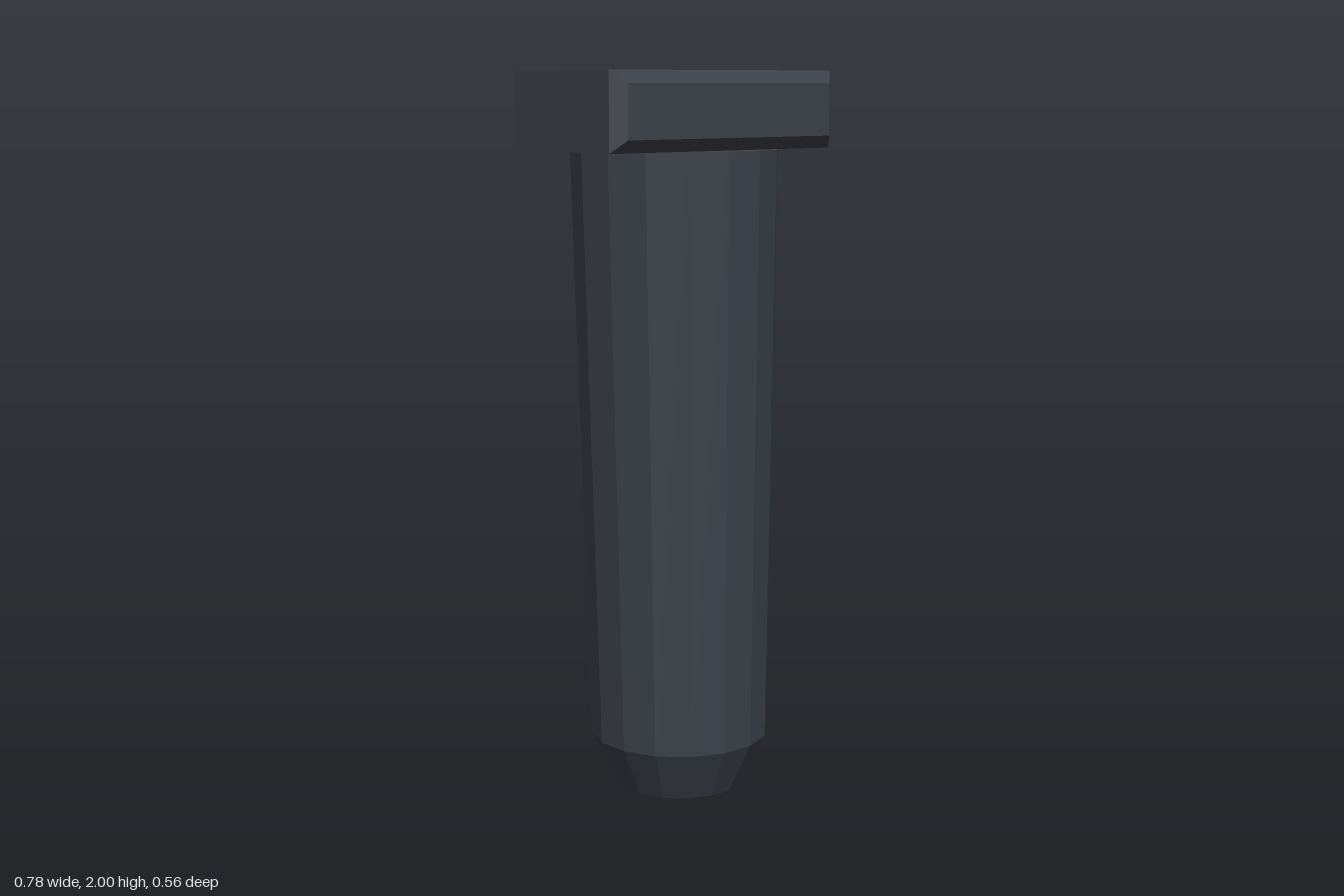
import * as THREE from 'three';

export function createModel() {
  const group = new THREE.Group();
  const steel = new THREE.MeshStandardMaterial({ color: 0x3b4049, flatShading: true });
  steel.name = 'darkSteel';

  const add = (name, geometry) => {
    const mesh = new THREE.Mesh(geometry, steel);
    mesh.name = name;
    group.add(mesh);
  };

  // 16-sided tapered section from y0 to y1, whose axis leans from x0 to x1
  const section = (r0, r1, y0, y1, x0, x1, openEnded = false) => {
    const h = y1 - y0;
    const g = new THREE.CylinderGeometry(r1, r0, h, 16, 1, openEnded, Math.PI / 16);
    g.translate(0, h / 2 + y0, 0);
    const p = g.attributes.position;
    for (let i = 0; i < p.count; i++) {
      p.setX(i, p.getX(i) + THREE.MathUtils.mapLinear(p.getY(i), y0, y1, x0, x1));
    }
    g.computeVertexNormals();
    return g;
  };

  // Slightly leaning shaft and its chamfered tip
  add('shaft', section(0.25, 0.285, 0.145, 1.79, 0.016, -0.002));
  add('tip', section(0.178, 0.25, 0, 0.145, 0.016, 0.016));

  // Rectangular head with chamfered front and back faces
  const w = 0.358, y0 = 1.824, y1 = 1.966;
  const outline = new THREE.Shape([
    new THREE.Vector2(-w, y0), new THREE.Vector2(w, y0),
    new THREE.Vector2(w, y1), new THREE.Vector2(-w, y1),
  ]);
  const head = new THREE.ExtrudeGeometry(outline, {
    depth: 0.394, bevelEnabled: true, bevelSegments: 1, bevelSize: 0.034, bevelThickness: 0.035,
  });
  head.translate(0, 0, -0.197);
  add('head', head);

  return group;
}
